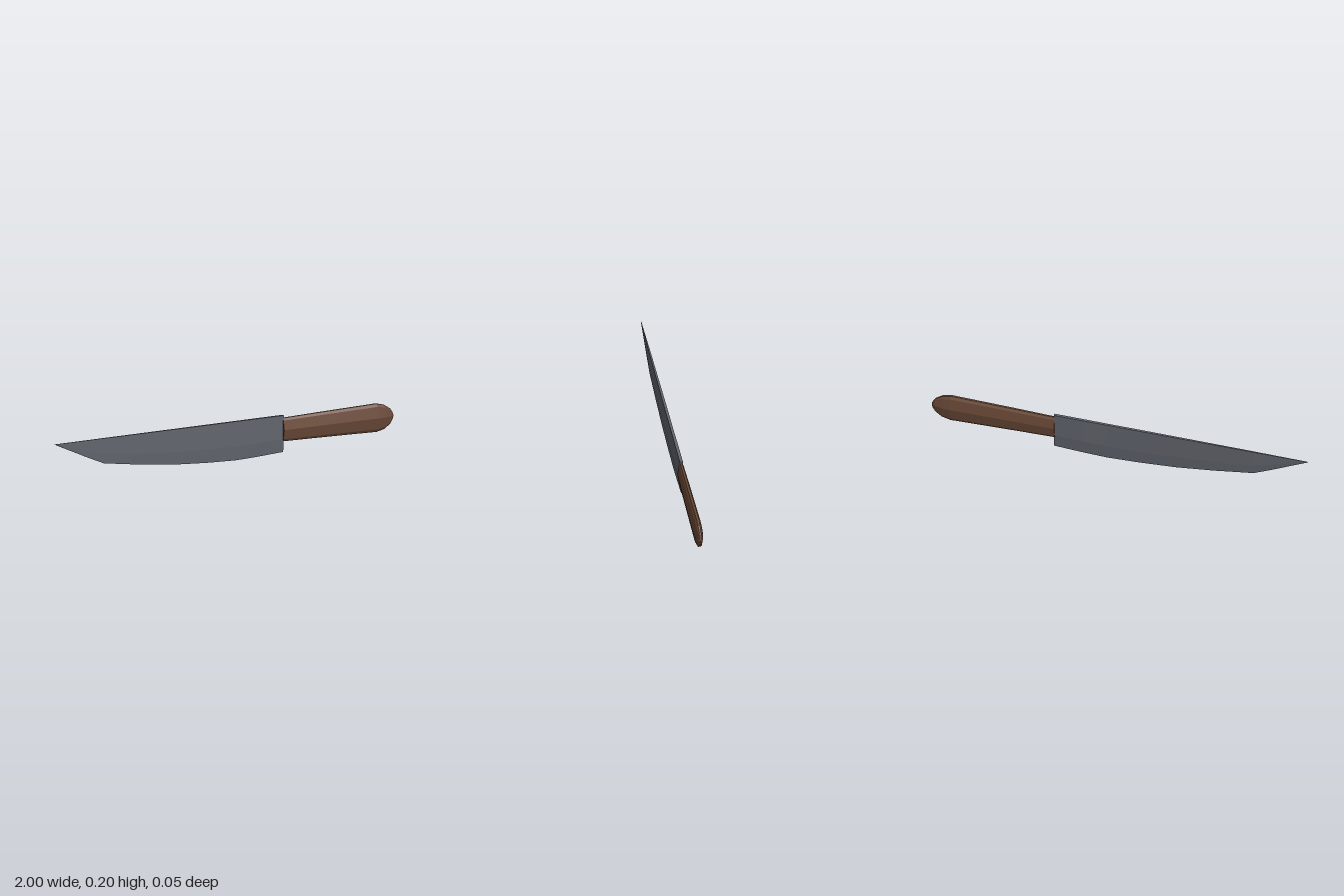
import * as THREE from 'three';

// Lofts closed [y, z] rings along x; each ring runs top, +z side, bottom, -z side.
function loft(sections) {
  const n = sections[0].ring.length;
  const positions = [];
  const index = [];
  for (const { x, ring } of sections) for (const [y, z] of ring) positions.push(x, y, z);
  for (let s = 0; s < sections.length - 1; s++) {
    for (let i = 0; i < n; i++) {
      const a = s * n + i, b = s * n + (i + 1) % n;
      index.push(a, b, a + n, b, b + n, a + n);
    }
  }
  const last = (sections.length - 1) * n;
  for (let i = 1; i < n - 1; i++) {
    index.push(0, i + 1, i, last, last + i, last + i + 1);
  }
  const geometry = new THREE.BufferGeometry();
  geometry.setAttribute('position', new THREE.Float32BufferAttribute(positions, 3));
  geometry.setIndex(index);
  const flat = geometry.toNonIndexed();
  flat.computeVertexNormals();
  return flat;
}

// Mirrors a half outline on the +z side into a full ring.
const mirrorRing = (half) => [...half, ...half.slice().reverse().map(([y, z]) => [y, -z])];

function part(name, color, sections) {
  const material = new THREE.MeshStandardMaterial({ color, flatShading: true });
  const mesh = new THREE.Mesh(loft(sections), material);
  mesh.name = name;
  return mesh;
}

export function createModel() {
  const group = new THREE.Group();
  group.name = 'knife';

  // Blade: straight spine, curved belly, bevel down to the cutting edge
  const spine = 0.202;
  const belly = [ // x, edge height, half thickness
    [-1, 0.2, 0.001], [-0.8, 0.11, 0.003], [-0.71, 0.072, 0.004], [-0.5, 0.042, 0.005],
    [-0.3, 0.019, 0.006], [-0.1, 0.006, 0.007], [0.07, 0, 0.007], [0.2, 0.004, 0.008], [0.35, 0.012, 0.008],
  ];
  group.add(part('blade', 0x62666e, belly.map(([x, edge, t]) => ({
    x,
    ring: mirrorRing([
      [spine, t],
      [edge + (spine - edge) * 0.36, t * 0.9],
      [edge, 0.0005],
    ]),
  }))));

  // Handle: faceted grip with a side ridge, swelling to a rounded butt
  const grip = [ // x, bottom, top, half thickness
    [0.345, 0.068, 0.188, 0.02], [0.55, 0.064, 0.193, 0.023], [0.9, 0.055, 0.2, 0.025],
    [0.945, 0.065, 0.189, 0.021], [0.98, 0.087, 0.167, 0.014], [0.995, 0.108, 0.147, 0.008],
    [1, 0.12, 0.135, 0.003],
  ];
  const facets = [[1, 0.25], [0.9, 0.6], [0.5, 1], [0.1, 0.6], [0, 0.25]];
  group.add(part('handle', 0x6b4a38, grip.map(([x, bottom, top, t]) => ({
    x,
    ring: mirrorRing(facets.map(([v, w]) => [bottom + (top - bottom) * v, t * w])),
  }))));

  return group;
}
